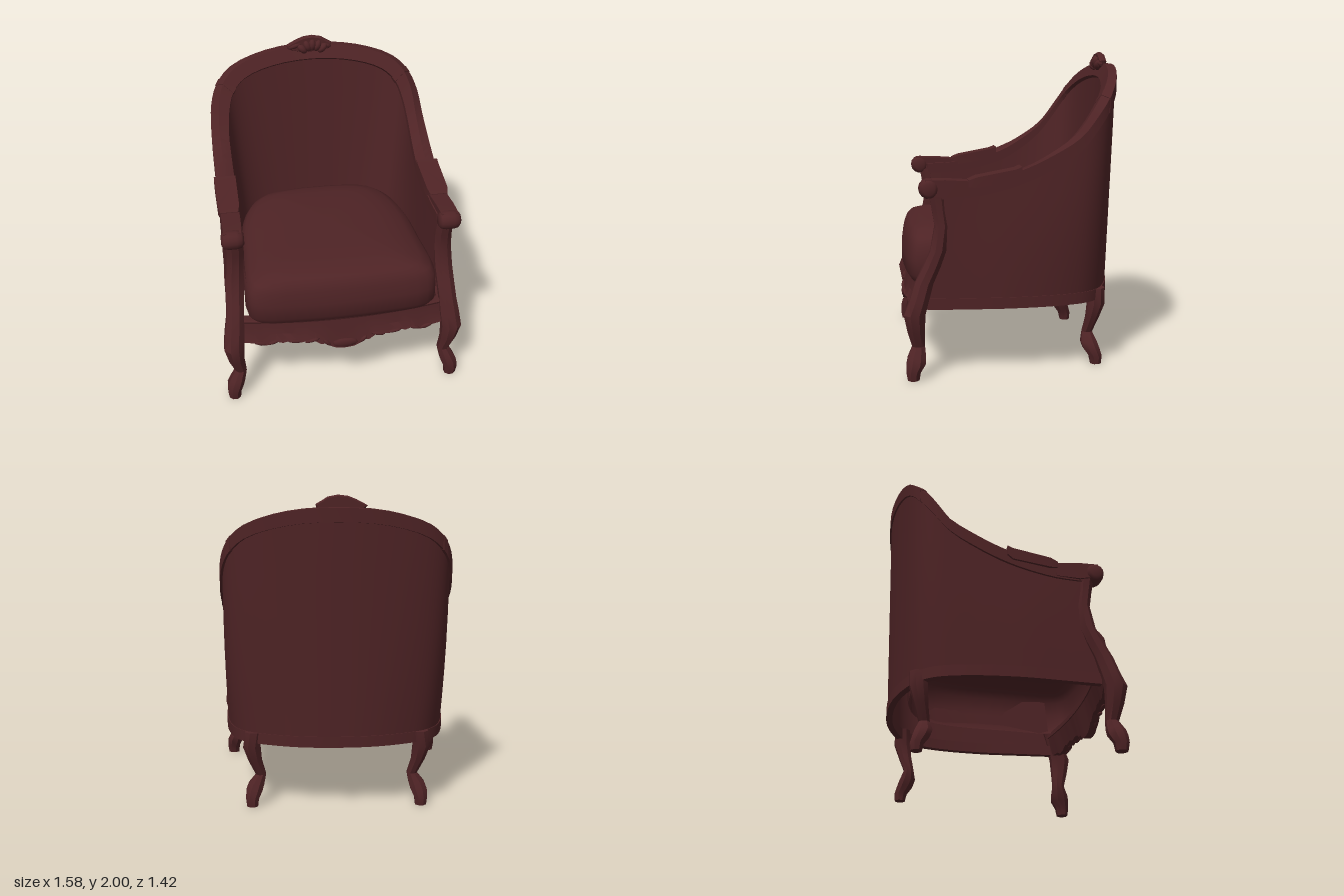
import * as THREE from 'three';
import { toCreasedNormals } from 'three/addons/utils/BufferGeometryUtils.js';

const V = (x, y, z) => new THREE.Vector3(x, y, z);

// Skin a list of equal-length rings; optionally close each ring and cap the ends.
function loft(rings, { closed = true, caps = true, crease = 0.7 } = {}) {
  const n = rings[0].length, pos = [], idx = [];
  rings.forEach(r => r.forEach(p => pos.push(p.x, p.y, p.z)));
  const last = closed ? n : n - 1;
  for (let i = 0; i < rings.length - 1; i++) {
    for (let j = 0; j < last; j++) {
      const a = i * n + j, b = i * n + (j + 1) % n;
      idx.push(a, b, a + n, b, b + n, a + n);
    }
  }
  if (closed && caps) {
    const e = (rings.length - 1) * n;
    for (let j = 1; j < n - 1; j++) idx.push(0, j + 1, j, e, e + j, e + j + 1);
  }
  const g = new THREE.BufferGeometry();
  g.setAttribute('position', new THREE.Float32BufferAttribute(pos, 3));
  g.setIndex(idx);
  return toCreasedNormals(g, crease);
}

// Stations from the left arm front to the middle of the back:
// rail outer edge xyz, rail inner edge xyz, outer wall foot xz, inner wall foot xz
const STATIONS = [
  [.73, 1.20, .49, .625, 1.19, .49, .705, .565, .61, .54],
  [.735, 1.21, .3, .62, 1.20, .3, .72, .3, .61, .3],
  [.74, 1.25, .1, .62, 1.235, .1, .73, .12, .605, .15],
  [.742, 1.30, -.05, .62, 1.28, -.05, .725, -.05, .595, -.02],
  [.742, 1.37, -.2, .622, 1.35, -.18, .71, -.2, .575, -.15],
  [.738, 1.48, -.38, .622, 1.46, -.33, .68, -.34, .545, -.26],
  [.722, 1.61, -.49, .605, 1.58, -.43, .64, -.44, .51, -.36],
  [.675, 1.72, -.57, .565, 1.685, -.50, .56, -.53, .46, -.42],
  [.57, 1.82, -.63, .48, 1.76, -.55, .44, -.59, .36, -.48],
  [.32, 1.9, -.685, .29, 1.82, -.59, .24, -.65, .2, -.52],
  [0, 1.925, -.713, 0, 1.845, -.61, 0, -.67, 0, -.53],
];

// Mirror a half path to the other side and smooth it.
function mirroredCurve(pick) {
  const half = STATIONS.map(pick);
  const other = half.slice(0, -1).reverse().map(p => V(-p.x, p.y, p.z));
  return new THREE.CatmullRomCurve3([...half, ...other]);
}

export function createModel() {
  const group = new THREE.Group();
  group.name = 'armchair';
  const mat = new THREE.MeshStandardMaterial({ color: 0x4e2325, side: THREE.DoubleSide });
  mat.name = 'dark mahogany';
  const add = (name, geo) => {
    const m = new THREE.Mesh(geo, mat);
    m.name = name;
    group.add(m);
    return m;
  };

  const outer = mirroredCurve(s => V(s[0], s[1], s[2]));
  const inner = mirroredCurve(s => V(s[3], s[4], s[5]));
  const foot = mirroredCurve(s => V(s[6], .48, s[7]));
  const seatLine = mirroredCurve(s => V(s[8], .57, s[9]));
  const N = 60;
  const ts = Array.from({ length: N + 1 }, (_, i) => i / N);

  // Carved rail sweeping over the arms and back
  const railRing = (t, grow = 1) => {
    const o = outer.getPoint(t), i = inner.getPoint(t);
    const back = THREE.MathUtils.smoothstep(o.y, 1.3, 1.8);
    const crown = o.clone().lerp(i, .5 - .1 * back).add(V(0, .015 + .02 * back, .015 * back));
    const ring = [o, crown, i,
      i.clone().add(V(0, -.07 + .055 * back, -.02 * back)),
      o.clone().add(V(0, -.085, 0))];
    const c = ring.reduce((a, p) => a.add(p), V(0, 0, 0)).divideScalar(5);
    return ring.map(p => p.sub(c).multiplyScalar(grow).add(c));
  };
  add('topRail', loft(ts.map(t => railRing(t)), { crease: .45 }));
  for (const t of [.355, .645]) {
    add('railCollar', loft([railRing(t - .008, 1.07), railRing(t + .008, 1.07)], { crease: .3 }));
  }

  // Upholstered walls: the outer one starts under the rail and bellies out slightly
  const wall = (top, lower, belly) => loft(ts.map(t => {
    const a = top(railRing(t)), b = lower.getPoint(t);
    return [0, .2, .4, .6, .8, 1].map(k => {
      const p = a.clone().lerp(b, k);
      p.x *= 1 + belly * Math.sin(Math.PI * k) * Math.sin(Math.PI * t);
      return p;
    });
  }), { closed: false, crease: 1 });
  add('outerUpholstery', wall(r => r[4].lerp(r[3], .14), foot, .025));
  add('innerUpholstery', wall(r => r[3], seatLine, 0));

  // Lower seat frame, open underneath
  add('seatFrame', loft(ts.map(t => {
    const p = foot.getPoint(t);
    return [[1.01, .5], [1.01, .43], [.95, .43], [.95, .5]].map(([k, y]) =>
      V(p.x * k, y, p.z > 0 ? p.z : p.z * k));
  }), { crease: .6 }));

  // Seat cushion: rings of one outline drawn in toward the crown (y, inset x, inset z)
  const half = [[.3, .69], [.55, .66], [.615, .6], [.61, .2], [.585, -.15],
    [.52, -.37], [.43, -.48], [.2, -.53]];
  const outline = new THREE.CatmullRomCurve3([
    V(0, 0, .70), ...half.map(([x, z]) => V(x, 0, z)), V(0, 0, -.535),
    ...half.slice().reverse().map(([x, z]) => V(-x, 0, z))], true).getPoints(54).slice(0, -1);
  const layers = [[.57, .03, .05], [.62, 0, 0], [.72, 0, 0], [.81, .01, .02],
    [.855, .06, .045], [.89, .16, .085], [.915, .31, .18], [.93, .46, .34], [.938, .7, .64], [.94, 1, 1]];
  add('seatCushion', loft(layers.map(([y, kx, kz]) =>
    outline.map(p => V(p.x * (1 - kx), y, .05 + (p.z - .05) * (1 - kz)))), { caps: false, crease: 1.1 }));

  // Bowed front apron, flaring forward to a scalloped lower edge
  const scallop = [[0, .35], [.06, .355], [.1, .375], [.13, .40], [.16, .395], [.2, .425],
    [.25, .43], [.3, .42], [.36, .44], [.41, .425], [.45, .435], [.5, .41], [.55, .405],
    [.59, .425], [.68, .43]];
  const columns = [...scallop.slice(1).reverse().map(([x, y]) => [-x, y]), ...scallop];
  const bow = x => .62 + .065 * (1 - (x / .68) ** 2);
  add('frontApron', loft(columns.map(([x, y]) => {
    const z = bow(x);
    return [V(x, .57, z - .025), V(x, .57, z - .07), V(x, y, z - .035), V(x, y, z + .015), V(x, .48, z - .012)];
  }), { crease: .4 }));
  add('apronMoulding', loft(columns.map(([x]) => {
    const z = bow(x) - .015;
    return [V(x, .585, z - .06), V(x, .585, z - .01), V(x, .575, z), V(x, .56, z - .005), V(x, .555, z - .06)];
  }), { crease: .4 }));

  // Carved leaves along the apron edge
  const leaf = (name, x, y, z, sx, sy, sz, roll) => {
    const m = add(name, new THREE.SphereGeometry(1, 10, 6));
    m.position.set(x, y, z);
    m.scale.set(sx, sy, sz);
    m.rotation.z = roll;
  };
  for (const s of [1, -1]) {
    for (const [x, y, w, h, roll] of [[.55, .42, .05, .014, .25], [.47, .428, .04, .012, -.3],
      [.33, .43, .05, .012, .15], [.22, .428, .05, .012, -.2], [.12, .4, .035, .014, .8]]) {
      leaf('apronLeaf', s * x, y, bow(x) + .008, w, h, .014, s * roll);
    }
  }
  leaf('apronShell', 0, .385, bow(0) + .005, .09, .035, .018, 0);

  // Crest ornament: a leafy plate with a shell of lobes
  const crest = new THREE.Shape([[-.17, 1.935], [-.11, 1.965], [-.06, 1.985], [0, 1.992], [.06, 1.98],
    [.09, 1.96], [.125, 1.94], [.115, 1.91], [.06, 1.895], [-.07, 1.89], [-.14, 1.91]]
    .map(([x, y]) => new THREE.Vector2(x, y)));
  add('crestPlate', new THREE.ExtrudeGeometry(crest, {
    depth: .015, bevelThickness: .015, bevelSize: .008, bevelSegments: 1,
  })).position.z = -.655;
  for (let i = -2; i <= 2; i++) {
    leaf('crestLobe', i * .035, 1.937 - .006 * i * i, -.63, .026, .042, .034, -i * .4);
  }
  leaf('crestLeaf', -.12, 1.935, -.635, .055, .018, .02, .3);
  leaf('crestLeaf', .09, 1.93, -.635, .045, .018, .02, -.3);

  // Legs as stacked octagonal sections: x, y, z, half width, half depth
  const FRONT = [[.68, 1.15, .497, .055, .052], [.675, 1.05, .485, .056, .046], [.68, .95, .471, .056, .044],
    [.69, .8, .493, .058, .05], [.698, .7, .535, .058, .055], [.706, .6, .583, .058, .058],
    [.718, .5, .613, .064, .06], [.727, .41, .644, .066, .067], [.715, .3, .635, .052, .054],
    [.69, .2, .62, .038, .04], [.715, .14, .632, .05, .057], [.73, .10, .638, .054, .06],
    [.742, .05, .655, .044, .045], [.74, 0, .655, .038, .036]];
  const BACK = [[.53, .5, -.53, .056, .052], [.545, .4, -.525, .056, .055], [.525, .3, -.505, .043, .042],
    [.49, .2, -.48, .033, .033], [.52, .14, -.486, .052, .053], [.533, .1, -.50, .054, .053],
    [.545, .05, -.525, .042, .042], [.545, 0, -.528, .036, .034]];
  const leg = (name, sections, s) => add(name, loft(sections.map(([x, y, z, rx, rz]) =>
    Array.from({ length: 8 }, (_, j) => {
      const a = (j + .5) * Math.PI / 4;
      return V(s * (x + 1.06 * rx * Math.cos(a)), y, z + 1.06 * rz * Math.sin(a));
    })), { crease: .6 }));

  // Scrolled hand rest, turned around the x axis
  const scroll = [[0, -.07], [.035, -.07], [.054, -.055], [.061, -.025], [.061, .025],
    [.054, .055], [.035, .07], [0, .07]].map(([r, y]) => new THREE.Vector2(r, y));

  // Boxy arm pieces from sections: z, top, bottom, inner x, outer x
  const armPiece = (name, sections, s) => add(name, loft(sections.map(([z, t, b, x0, x1]) =>
    [V(s * x0, t, z), V(s * x1, t, z), V(s * x1, b, z), V(s * x0, b, z)]), { crease: .3 }));

  for (const s of [1, -1]) {
    const side = s > 0 ? 'left' : 'right';
    leg(side + 'FrontLeg', FRONT, s);
    leg(side + 'BackLeg', BACK, s);
    const hand = add(side + 'ArmScroll', new THREE.LatheGeometry(scroll, 14));
    hand.rotation.z = Math.PI / 2;
    hand.position.set(s * .69, 1.18, .55);
    armPiece(side + 'ArmPad', [[.31, 1.23, 1.19, .63, .745], [.26, 1.25, 1.185, .618, .755],
      [.02, 1.295, 1.22, .615, .757], [-.015, 1.31, 1.25, .615, .757]], s);
    armPiece(side + 'ArmFront', [[.57, 1.235, 1.15, .635, .745], [.45, 1.235, 1.125, .63, .745],
      [.3, 1.225, 1.135, .625, .74]], s);
  }
  return group;
}
